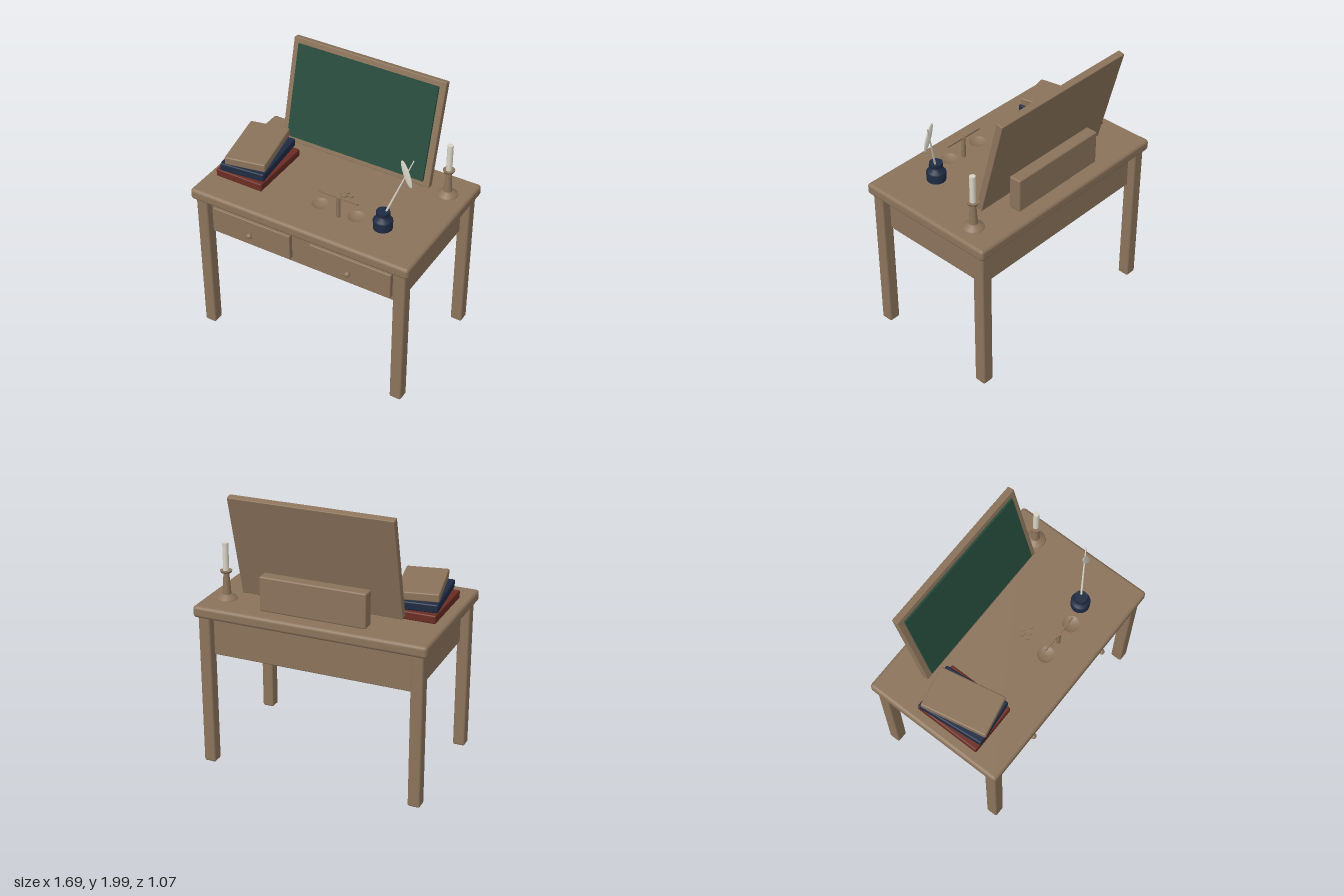
import * as THREE from 'three';
import { RoundedBoxGeometry } from 'three/addons/geometries/RoundedBoxGeometry.js';

function material(name, color) {
  const m = new THREE.MeshStandardMaterial({ color });
  m.name = name;
  return m;
}

export function createModel() {
  const wood = material('wood', 0x8b735b);
  const green = material('boardGreen', 0x264a3c);
  const red = material('bookRed', 0x6a2c23);
  const navy = material('navy', 0x1f2b43);
  const ivory = material('ivory', 0xd8d4c6);
  const panWood = wood.clone();
  panWood.name = 'panWood';
  panWood.side = THREE.DoubleSide;

  const model = new THREE.Group();
  model.name = 'teacherDesk';

  const add = (name, geometry, mat, x = 0, y = 0, z = 0, parent = model) => {
    const mesh = new THREE.Mesh(geometry, mat);
    mesh.name = name;
    mesh.position.set(x, y, z);
    parent.add(mesh);
    return mesh;
  };
  const rounded = (w, h, d, r) => new RoundedBoxGeometry(w, h, d, 3, r);
  const lathe = (points, sides) =>
    new THREE.LatheGeometry(points.map(([r, y]) => new THREE.Vector2(r, y)), sides);
  const cylinder = (top, bottom, h, sides) => new THREE.CylinderGeometry(top, bottom, h, sides);

  // Desk: top, legs and drawer case with a narrow gap under the top
  add('tabletop', rounded(1.69, 0.085, 1.07, 0.025), wood, 0, 1.162, 0);
  for (const x of [-0.772, 0.772]) {
    for (const z of [-0.465, 0.465]) {
      add('leg', rounded(0.088, 1.13, 0.088, 0.014), wood, x, 0.57, z);
    }
  }
  add('drawerCase', rounded(1.5, 0.27, 0.9, 0.008), wood, 0, 0.965, 0);
  for (const side of [-1, 1]) {
    add('drawerFront', rounded(0.62, 0.2, 0.05, 0.008), wood, side * 0.387, 0.965, 0.46);
    add('drawerKnob', new THREE.SphereGeometry(0.021, 16, 12), wood, side * 0.387, 0.96, 0.508);
  }

  // Tilted board and its rear support
  add('boardSupport', rounded(0.77, 0.25, 0.09, 0.012), wood, 0, 1.33, -0.386);
  const board = new THREE.Group();
  board.name = 'board';
  board.position.set(0, 1.625, -0.352);
  board.rotation.x = -0.25;
  model.add(board);
  add('boardFrame', rounded(1.17, 0.76, 0.05, 0.006), wood, 0, 0, 0, board);
  add('writingSurface', new THREE.BoxGeometry(1.08, 0.68, 0.02), green, 0, 0, 0.03, board);

  // Stack of books, each turned a little further
  [[0.37, 0.495, red], [0.335, 0.485, navy], [0.296, 0.477, wood]].forEach(([w, d, mat], i) => {
    const book = add('book', rounded(w, 0.06, d, 0.01), mat, -0.587, 1.237 + i * 0.069, 0.073);
    book.rotation.y = i * 0.1;
  });

  // Inkwell
  add('inkwell', lathe([
    [0, 0], [0.066, 0], [0.066, 0], [0.068, 0.065], [0.062, 0.072], [0.036, 0.09],
    [0.036, 0.108], [0.036, 0.108], [0.048, 0.112], [0.046, 0.138], [0.046, 0.138], [0, 0.138],
  ], 16), navy, 0.492, 1.205, 0.227);

  // Quill: slanted shaft and flat vane
  const start = new THREE.Vector3(0.495, 1.3, 0.225);
  const end = new THREE.Vector3(0.648, 1.735, 0.125);
  const along = end.clone().sub(start);
  const middle = start.clone().add(end).multiplyScalar(0.5);
  const shaft = add('quillShaft', cylinder(0.004, 0.008, along.length(), 8), ivory, middle.x, middle.y, middle.z);
  shaft.quaternion.setFromUnitVectors(new THREE.Vector3(0, 1, 0), along.normalize());
  const vane = add('quillVane', new THREE.SphereGeometry(1, 16, 12), ivory, 0.615, 1.637, 0.156);
  vane.scale.set(0.025, 0.104, 0.008);
  vane.rotation.z = 0.36;

  // Candlestick and candle
  add('candlestick', lathe([
    [0, 0], [0.073, 0], [0.073, 0], [0.07, 0.01], [0.032, 0.034], [0.03, 0.036], [0.02, 0.185],
    [0.02, 0.185], [0.038, 0.192], [0.042, 0.205], [0.042, 0.205], [0, 0.205],
  ], 24), wood, 0.692, 1.205, -0.313);
  add('candle', cylinder(0.021, 0.021, 0.2, 16), ivory, 0.692, 1.508, -0.313);

  // Balance: post, beam and shallow pans
  add('balancePost', cylinder(0.015, 0.015, 0.26, 10), wood, 0.181, 1.232, 0.275);
  add('balanceBeam', new THREE.BoxGeometry(0.3, 0.012, 0.012), wood, 0.181, 1.36, 0.275);
  for (const side of [-1, 1]) {
    add('balancePan', lathe([[0, 0], [0.025, 0.003], [0.046, 0.01], [0.06, 0.02]], 24),
      panWood, 0.181 + side * 0.139, 1.238, 0.275);
  }

  // Scattered coins
  [[0.075, 0.045], [0.105, 0.027], [0.15, 0.06], [0.105, 0.06], [0.075, 0.09], [0.107, 0.08]]
    .forEach(([x, z], i) => {
      add('coin', cylinder(0.018, 0.018, 0.01, 12), wood, x, 1.21 + (i % 3) * 0.004, z);
    });

  return model;
}
